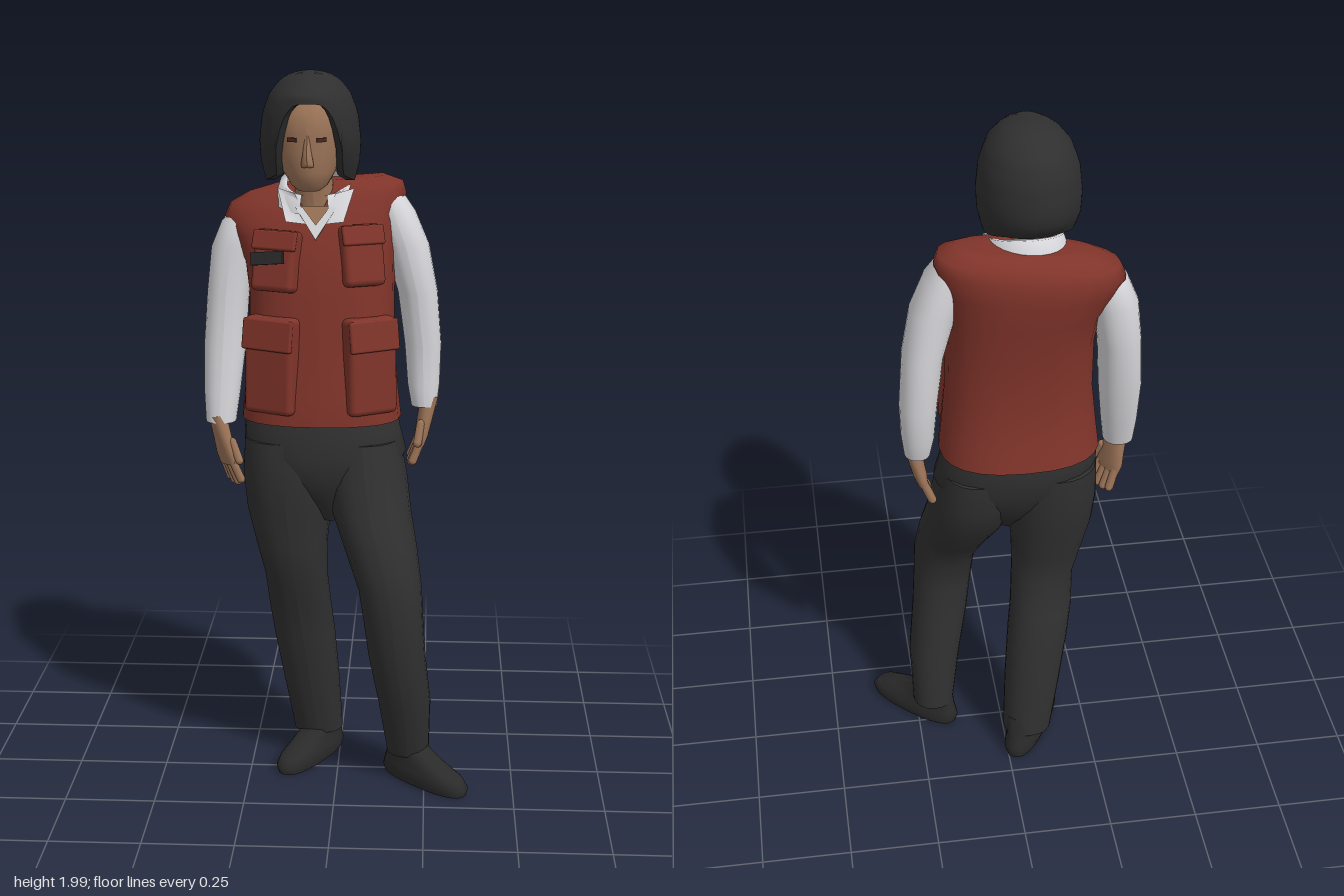
import * as THREE from 'three';
import { RoundedBoxGeometry } from 'three/addons/geometries/RoundedBoxGeometry.js';

const mat = (name, color) => {
  const m = new THREE.MeshStandardMaterial({ color, side: THREE.DoubleSide });
  m.name = name;
  return m;
};

// Surface through rows of points, listed from bottom to top, each row counter-clockwise from above
function skin(rows) {
  const n = rows[0].length, index = [];
  for (let j = 0; j < rows.length - 1; j++)
    for (let i = 0; i < n - 1; i++) {
      const a = j * n + i, b = a + 1, c = a + n, d = c + 1;
      index.push(a, b, c, b, d, c);
    }
  const g = new THREE.BufferGeometry();
  g.setAttribute('position', new THREE.Float32BufferAttribute(rows.flat(2), 3));
  g.setIndex(index);
  g.computeVertexNormals();
  return g;
}

// Closed body from horizontal oval sections [x, y, z, rx, rz, sideways slope]
function loft(sections, power = 0.9, n = 24) {
  const pw = v => Math.sign(v) * Math.abs(v) ** power;
  const ring = ([x, y, z, rx, rz, slope = 0], s = 1) =>
    Array.from({ length: n + 1 }, (_, i) => {
      const a = (i / n) * Math.PI * 2;
      const dx = rx * s * pw(Math.sin(a)), dz = rz * s * pw(Math.cos(a));
      return [x + dx, y + slope * dx, z + dz];
    });
  const first = sections[0], last = sections.at(-1);
  return skin([ring(first, 0.001), ring(first), ...sections.map(s => ring(s)), ring(last), ring(last, 0.001)]);
}

export function createModel() {
  const model = new THREE.Group();
  model.name = 'standingPerson';
  const red = mat('vestRed', 0x80342a), white = mat('shirtWhite', 0xd8d8dc), flesh = mat('skinTan', 0x9c7458);
  const dark = mat('trouserBlack', 0x303030), hairMat = mat('hairBlack', 0x2f2f2f);
  const shoeMat = mat('shoeBlack', 0x2a2a2a), eyeMat = mat('eyeBrown', 0x4a2620);
  const add = (name, geo, material, parent = model) => {
    const m = new THREE.Mesh(geo, material);
    m.name = name;
    parent.add(m);
    return m;
  };

  // Trousers: hips tapering into the crotch, and two legs, the left one stepping forward
  add('hips', loft([
    [-0.02, 0.77, 0, 0.03, 0.04], [-0.022, 0.84, -0.01, 0.09, 0.095], [-0.03, 0.9, -0.018, 0.185, 0.125],
    [-0.035, 0.96, -0.025, 0.225, 0.14], [-0.045, 1.03, -0.035, 0.216, 0.142], [-0.045, 1.09, -0.035, 0.205, 0.13]]), dark);
  add('leftLeg', loft([
    [0.203, 0.085, 0.03, 0.06, 0.066], [0.192, 0.25, 0.065, 0.074, 0.086], [0.17, 0.4, 0.093, 0.08, 0.092],
    [0.16, 0.5, 0.105, 0.083, 0.092], [0.15, 0.6, 0.108, 0.088, 0.094], [0.124, 0.7, 0.07, 0.1, 0.118],
    [0.095, 0.8, 0.02, 0.11, 0.14], [0.08, 0.9, -0.015, 0.112, 0.142], [0.07, 1.0, -0.03, 0.1, 0.13]]), dark);
  add('rightLeg', loft([
    [-0.062, 0.085, -0.125, 0.07, 0.066], [-0.08, 0.25, -0.1, 0.08, 0.08], [-0.098, 0.4, -0.075, 0.087, 0.083],
    [-0.11, 0.5, -0.055, 0.088, 0.085], [-0.118, 0.6, -0.02, 0.088, 0.088], [-0.13, 0.7, -0.02, 0.101, 0.105],
    [-0.137, 0.8, -0.025, 0.118, 0.118], [-0.14, 0.9, -0.027, 0.125, 0.135], [-0.14, 1.0, -0.033, 0.12, 0.13]]), dark);

  // Shoes, toes turned outwards
  const shoeGeo = loft([
    [0, 0.008, 0, 0.048, 0.147], [0, 0.028, 0, 0.054, 0.152], [0, 0.05, -0.006, 0.05, 0.14],
    [0, 0.072, -0.035, 0.044, 0.105], [0, 0.1, -0.068, 0.043, 0.066], [0, 0.14, -0.07, 0.042, 0.055]], 0.82);
  for (const [name, x, z, turn] of [['leftShoe', 0.253, 0.083, 0.82], ['rightShoe', -0.083, -0.066, -0.5]]) {
    const s = add(name, shoeGeo, shoeMat);
    s.position.set(x, 0, z);
    s.rotation.y = turn;
  }

  // Vest body, left shoulder higher than the right
  add('vest', loft([
    [-0.046, 1.06, -0.028, 0.22, 0.16], [-0.046, 1.13, -0.022, 0.212, 0.15], [-0.045, 1.25, -0.022, 0.2, 0.133],
    [-0.045, 1.4, -0.035, 0.198, 0.135], [-0.05, 1.5, -0.05, 0.205, 0.135, 0.05], [-0.062, 1.58, -0.07, 0.228, 0.13, 0.1],
    [-0.065, 1.635, -0.083, 0.248, 0.116, 0.13], [-0.062, 1.67, -0.088, 0.235, 0.1, 0.13],
    [-0.06, 1.693, -0.09, 0.185, 0.073, 0.13], [-0.06, 1.7, -0.09, 0.12, 0.05, 0.1]], 0.82), red);

  // Pockets with overhanging flaps: x, y, z, width, height, turn, lean
  for (const [name, x, y, z, w, h, turn, lean] of [
    ['rightChestPocket', -0.157, 1.5, 0.058, 0.125, 0.165, -0.4, -0.22],
    ['leftChestPocket', 0.063, 1.515, 0.05, 0.115, 0.165, 0.42, -0.22],
    ['rightLowerPocket', -0.17, 1.222, 0.08, 0.15, 0.265, -0.48, -0.03],
    ['leftLowerPocket', 0.087, 1.222, 0.077, 0.145, 0.265, 0.56, -0.03]]) {
    const p = new THREE.Group();
    p.name = name;
    p.position.set(x, y, z);
    p.rotation.set(lean, turn, 0, 'YXZ');
    add('pouch', new RoundedBoxGeometry(w, h, 0.07, 2, 0.016), red, p);
    const flap = add('flap', new RoundedBoxGeometry(w + 0.004, h * 0.32, 0.016, 2, 0.006), red, p);
    flap.position.set(0, h * 0.32, 0.032);
    flap.rotation.x = -0.12;
    model.add(p);
    if (name === 'rightChestPocket') {
      const badge = add('badge', new THREE.BoxGeometry(0.095, 0.034, 0.009), shoeMat, p);
      badge.position.set(-0.008, 0.004, 0.05);
      badge.rotation.z = 0.12;
    }
  }

  // Sleeves
  add('leftSleeve', loft([
    [0.237, 1.08, -0.07, 0.036, 0.045], [0.235, 1.14, -0.078, 0.045, 0.056], [0.232, 1.25, -0.088, 0.051, 0.062],
    [0.216, 1.4, -0.078, 0.055, 0.075], [0.184, 1.53, -0.07, 0.062, 0.077], [0.152, 1.62, -0.07, 0.056, 0.075],
    [0.13, 1.675, -0.075, 0.04, 0.055]]), white);
  add('rightSleeve', loft([
    [-0.325, 1.04, -0.02, 0.042, 0.045], [-0.322, 1.12, -0.035, 0.05, 0.054], [-0.315, 1.25, -0.06, 0.058, 0.064],
    [-0.305, 1.4, -0.075, 0.058, 0.073], [-0.288, 1.52, -0.075, 0.062, 0.077], [-0.267, 1.59, -0.075, 0.054, 0.068],
    [-0.25, 1.625, -0.078, 0.038, 0.05]]), white);

  // Hands hang from the wrist, palms inwards
  const palm = loft([[0, -0.11, 0, 0.014, 0.042], [0, -0.08, 0, 0.019, 0.046], [0, -0.03, 0, 0.021, 0.036], [0, 0.03, 0, 0.024, 0.027]]);
  for (const [name, x, y, z, side, yaw] of [['leftHand', 0.247, 1.08, -0.06, 1, 0.1], ['rightHand', -0.327, 1.03, -0.002, -1, 0.55]]) {
    const h = new THREE.Group();
    h.name = name;
    h.position.set(x, y, z);
    h.rotation.set(0, yaw, -side * 0.2, 'ZYX');
    add('palm', palm, flesh, h);
    for (let i = 0; i < 4; i++) {
      const f = add('finger', new THREE.CapsuleGeometry(0.012, 0.065, 3, 8), flesh, h);
      f.position.set(-side * 0.006, -0.137 + Math.abs(i - 1.4) * 0.008, (1.5 - i) * 0.021);
      f.rotation.set((i - 1.5) * 0.06, 0, -side * 0.18);
    }
    const thumb = add('thumb', new THREE.CapsuleGeometry(0.012, 0.055, 3, 8), flesh, h);
    thumb.position.set(-side * 0.012, -0.075, 0.042);
    thumb.rotation.x = -0.35;
    model.add(h);
  }

  // Neck, face and nose
  const head = new THREE.Group();
  head.name = 'head';
  model.add(head);
  add('neck', loft([[-0.055, 1.58, -0.03, 0.06, 0.068], [-0.063, 1.66, -0.025, 0.052, 0.058], [-0.07, 1.78, 0, 0.052, 0.058]]), flesh, head);
  add('face', loft([
    [-0.072, 1.69, 0.062, 0.028, 0.022], [-0.072, 1.705, 0.055, 0.048, 0.05], [-0.073, 1.74, 0.035, 0.07, 0.084],
    [-0.074, 1.79, 0.022, 0.086, 0.1], [-0.075, 1.84, 0.02, 0.093, 0.102], [-0.075, 1.9, 0.015, 0.092, 0.108],
    [-0.075, 1.95, 0, 0.065, 0.07]], 1), flesh, head);
  add('nose', loft([[-0.073, 1.758, 0.12, 0.016, 0.014], [-0.073, 1.768, 0.124, 0.017, 0.022], [-0.074, 1.8, 0.118, 0.011, 0.015],
    [-0.074, 1.84, 0.114, 0.007, 0.008]], 1, 10), flesh, head);
  for (const s of [-1, 1]) {
    const eye = add('eye', new THREE.BoxGeometry(0.026, 0.011, 0.008), eyeMat, head);
    eye.position.set(-0.075 + s * 0.038, 1.828, 0.113);
    eye.rotation.y = s * 0.42;
  }

  // Bobbed hair: shell sections [y, half width, back depth, front depth], hem raised over the face
  const profile = [[2.0, 0.001, 0.001, 0.001], [1.995, 0.045, 0.05, 0.07], [1.975, 0.08, 0.09, 0.108], [1.94, 0.108, 0.128, 0.148],
    [1.89, 0.127, 0.147, 0.154], [1.82, 0.135, 0.154, 0.152], [1.765, 0.132, 0.145, 0.118], [1.73, 0.124, 0.105, 0.088], [1.69, 0.112, 0.07, 0.07]];
  const radii = y => {
    const k = Math.max(1, profile.findIndex(p => p[0] <= y));
    const [a, b] = [profile[k - 1], profile[k]], t = (a[0] - y) / (a[0] - b[0]);
    return a.slice(1).map((v, i) => v + (b[i + 1] - v) * t);
  };
  const hairRow = (v, inset) => Array.from({ length: 73 }, (_, i) => {
    const a = (i / 72) * Math.PI * 2 - Math.PI, u = Math.abs(a) / 0.79, c = Math.cos(a);
    const hem = u < 1 ? 1.922 - 0.192 * u ** 4 : 1.73 - 0.02 * Math.sin(Math.min(1, (u - 1) / 2.2) * Math.PI);
    const y = 2 - (2 - hem) * v ** 1.6, [rx, back, front] = radii(y);
    return [-0.073 + rx * inset * Math.sin(a) + 0.004 * Math.max(0, c) * v, y, (c > 0 ? front : back) * inset * c];
  });
  const shell = Array.from({ length: 17 }, (_, j) => hairRow(1 - j / 16, 1));
  add('hair', skin([hairRow(1, 0.8), hairRow(1, 1), ...shell]), hairMat, head);

  // Shirt collar: a standing band, two pointed flaps and the white neckline
  const band = (r, y, rise) => Array.from({ length: 25 }, (_, i) => {
    const a = 0.35 + (i / 24) * (Math.PI * 2 - 0.7), c = Math.cos(a);
    return [-0.06 + r * 1.08 * Math.sin(a), y - rise * c, -0.035 + r * c];
  });
  add('collar', skin([band(0.105, 1.655, 0.03), band(0.09, 1.705, 0.03), band(0.072, 1.7, 0.03)]), white);
  for (const s of [-1, 1]) {
    const [a, b, c, d] = [[0.012, 1.6, 0.07], [0.077, 1.608, 0.072], [0.103, 1.69, 0.01], [0.055, 1.68, 0.045]]
      .map(([x, y, z]) => [-0.058 + s * x, y, z]);
    add('collarFlap', skin(s > 0 ? [[a, b], [d, c]] : [[b, a], [c, d]]), white);
  }
  const neckline = new THREE.Shape([[-0.055, 0.04], [-0.036, 0.04], [0, -0.008], [0.036, 0.04], [0.055, 0.04], [0, -0.048]]
    .map(p => new THREE.Vector2(...p)));
  const shirt = add('shirtNeckline', new THREE.ExtrudeGeometry(neckline, { depth: 0.008, bevelEnabled: false }), white);
  shirt.position.set(-0.055, 1.605, 0.064);
  shirt.rotation.x = -0.35;
  const chest = add('chestSkin', new THREE.ShapeGeometry(new THREE.Shape([[-0.042, 0.045], [0, -0.02], [0.042, 0.045]]
    .map(p => new THREE.Vector2(...p)))), flesh);
  chest.position.set(-0.055, 1.605, 0.066);
  chest.rotation.x = -0.35;

  return model;
}
